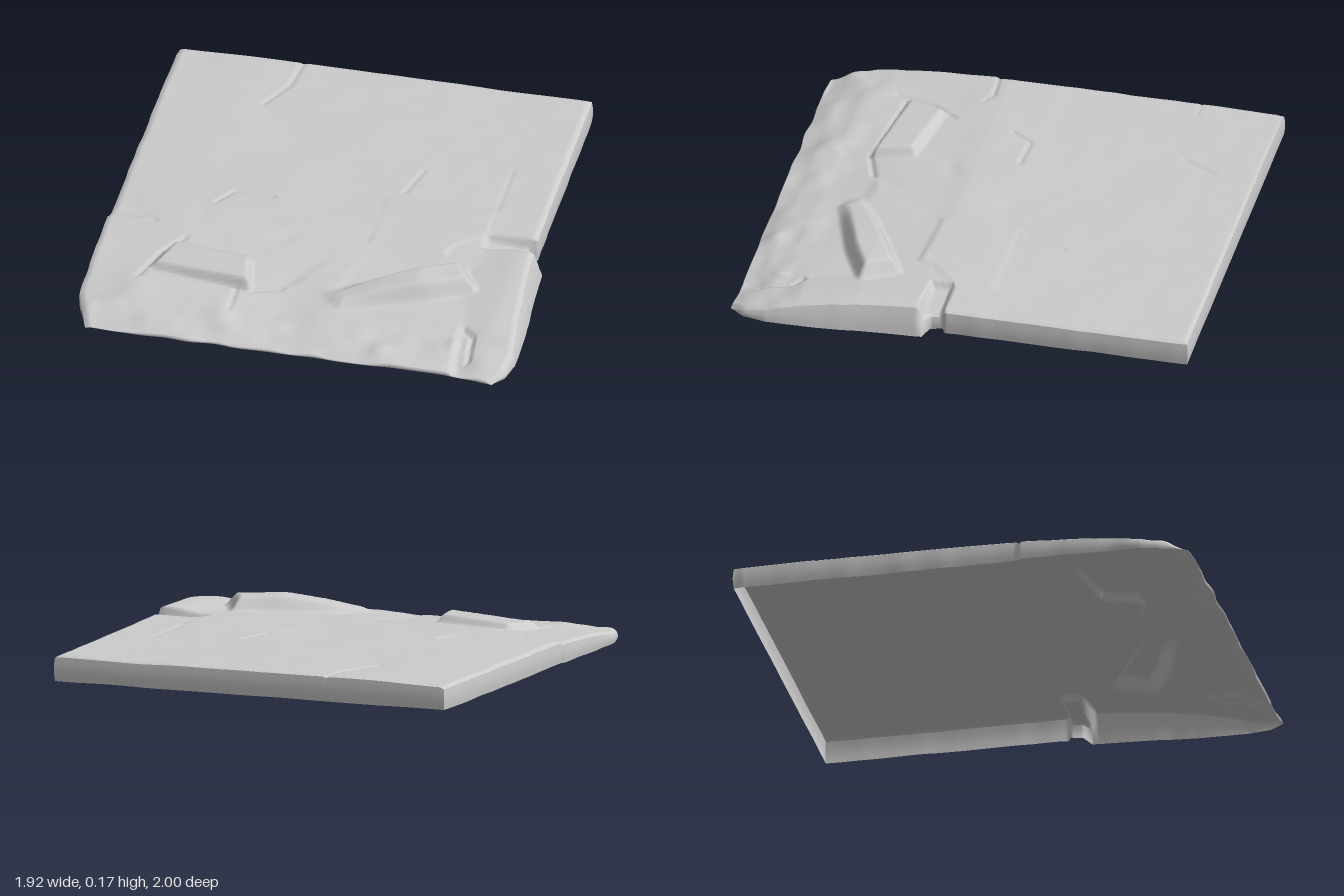
import * as THREE from 'three';

// piecewise-linear curve through [t, value] pairs
function curve(pts, t) {
  if (t <= pts[0][0]) return pts[0][1];
  for (let i = 1; i < pts.length; i++) {
    const [a, va] = pts[i - 1], [b, vb] = pts[i];
    if (t <= b) return va + (vb - va) * (t - a) / (b - a);
  }
  return pts[pts.length - 1][1];
}
const lerp = THREE.MathUtils.lerp;
const smooth = THREE.MathUtils.smoothstep;

// repeatable value noise, -1..1
function hash(i, j) {
  const s = Math.sin(i * 127.1 + j * 311.7) * 43758.5453;
  return (s - Math.floor(s)) * 2 - 1;
}
function noise(x, z) {
  const i = Math.floor(x), j = Math.floor(z), u = smooth(x - i, 0, 1), v = smooth(z - j, 0, 1);
  return lerp(lerp(hash(i, j), hash(i + 1, j), u), lerp(hash(i, j + 1), hash(i + 1, j + 1), u), v);
}

// distance to a segment, and signed distance to a polygon (positive inside)
function segDist(x, z, [ax, az], [bx, bz]) {
  const dx = bx - ax, dz = bz - az;
  const t = THREE.MathUtils.clamp(((x - ax) * dx + (z - az) * dz) / (dx * dx + dz * dz), 0, 1);
  return Math.hypot(x - ax - dx * t, z - az - dz * t);
}
function polyDist(x, z, poly) {
  let d = 9, inside = false;
  poly.forEach((a, i) => {
    const b = poly[(i + 1) % poly.length];
    d = Math.min(d, segDist(x, z, a, b));
    if ((a[1] > z) !== (b[1] > z) && x < (b[0] - a[0]) * (z - a[1]) / (b[1] - a[1]) + a[0]) inside = !inside;
  });
  return inside ? d : -d;
}

// outline of the slab
const RIGHT = [[-1, 0.86], [0.065, 0.87], [0.078, 0.835], [0.135, 0.845], [0.15, 0.878], [0.5, 0.905], [0.83, 0.94], [0.93, 0.925], [0.99, 0.88]];
const FLARE = [[0.135, 0], [0.15, 0.032], [0.6, 0.03], [0.83, 0.014], [1, 0]];
const LEFT = [[-0.98, -0.945], [-0.95, -0.952], [0.25, -0.952], [0.265, -0.964], [0.8, -0.964], [0.87, -0.945], [0.99, -0.89]];

// general fall of the surface from back to front
const BASE = [[-1, 0.122], [-0.5, 0.124], [0, 0.124], [0.2, 0.121], [0.4, 0.106], [0.6, 0.093], [0.8, 0.075], [0.9, 0.055], [1, 0.022]];
const BLOCK = [[0.15, 0.142], [0.45, 0.128], [0.7, 0.1], [0.88, 0.056], [1, 0.018]];

// broken plates lying in the surface: outline, edge softness, top plane
const PLATES = [
  { poly: [[-0.55, 0.1], [-0.47, 0], [0.2, 0.02], [0.18, 0.23], [-0.14, 0.2], [-0.2, 0.28], [-0.5, 0.25]], soft: 0.05, top: (x, z) => curve(BASE, z) + 0.004 },
  { poly: [[0.18, -0.1], [0.66, -0.1], [0.66, 0.07], [0.53, 0.19], [0.51, 0.255], [0.18, 0.235]], soft: 0.014, top: () => 0.127 },
  { poly: [[-0.07, 0.58], [0.06, 0.32], [0.17, 0.34], [0.12, 0.6]], soft: 0.03, top: (x, z) => 0.113 - (z - 0.33) * 0.05 },
  { poly: [[-0.69, 0.59], [-0.63, 0.42], [-0.29, 0.475], [-0.255, 0.65]], soft: 0.016, top: (x, z) => 0.128 + (x + 0.6) * 0.04 - (z - 0.45) * 0.05 },
  { poly: [[0.66, 0.165], [1.1, 0.165], [1.1, 1.1], [0.72, 1.1], [0.66, 0.5]], soft: 0.02, top: (x, z) => curve(BLOCK, z) - 0.02 * smooth(0.85 - x, 0, 0.2) },
  { poly: [[0.08, 0.62], [0.22, 0.53], [0.6, 0.335], [0.68, 0.47], [0.5, 0.56], [0.15, 0.68]], soft: 0.03, top: (x, z) => curve([[0.1, 0.115], [0.3, 0.155], [0.45, 0.174], [0.66, 0.168]], x) - 0.06 * Math.max(0, z - 0.45) },
  { poly: [[0.655, 0.075], [0.95, 0.075], [0.95, 0.165], [0.655, 0.165]], soft: 0.01, top: (x) => 0.095 - (x - 0.65) * 0.09 },
];
// cracks: polyline, depth, width
const CRACKS = [
  [[[-0.97, 0.26], [-0.8, 0.25], [-0.75, 0.28]], 0.01, 0.012],
  [[[-0.53, 0.1], [-0.47, 0.005], [-0.3, 0.015]], 0.008, 0.014],
  [[[-0.69, 0.6], [-0.255, 0.655], [-0.12, 0.61]], 0.012, 0.016],
  [[[-0.74, 0.66], [-0.68, 0.48], [-0.6, 0.37]], 0.008, 0.018],
  [[[-0.4, -1], [-0.42, -0.82], [-0.5, -0.66]], 0.006, 0.018],
  [[[0.65, -0.42], [0.655, 0.07]], 0.004, 0.012],
  [[[0.24, -0.15], [0.28, -0.32]], 0.005, 0.02],
  [[[-0.31, 0.66], [-0.31, 0.8]], 0.008, 0.015],
  [[[0.7, 0.72], [0.75, 0.76], [0.76, 0.9]], 0.018, 0.015],
  [[[-0.96, -0.63], [-0.86, -0.63]], 0.004, 0.012],
];
// soft bumps and dents: x, z, radius, height
const BUMPS = [
  [-0.1, 0.75, 0.22, -0.016], [0.35, 0.78, 0.2, -0.008], [-0.3, 0.85, 0.1, 0.016], [-0.75, 0.75, 0.15, 0.012],
  [-0.2, 0.27, 0.07, -0.009], [0.13, 0.65, 0.05, 0.012], [0.72, 0.73, 0.05, 0.02], [0.81, 0.79, 0.06, 0.02],
  [0.7, 0.82, 0.05, 0.015], [0.38, 0.92, 0.07, 0.015], [-0.3, -0.4, 0.2, -0.006], [-0.3, 0.1, 0.25, 0.008], [-0.9, 0.88, 0.06, 0.012],
];

const bottomAt = (x, z) => 0.013 - 0.009 * smooth(x, 0.6, 0.9) * smooth(z, 0, 0.2) + 0.002 * noise(x * 5, z * 5);

function heightAt(x, z) {
  let h = curve(BASE, z) - 0.01 * smooth(-x, 0.6, 0.95);
  for (const [bx, bz, r, k] of BUMPS) h += k * Math.exp(-2 * ((x - bx) ** 2 + (z - bz) ** 2) / (r * r));
  for (const { poly, soft, top } of PLATES) h = lerp(h, top(x, z), smooth(polyDist(x, z, poly), -soft, soft));
  for (const [line, depth, width] of CRACKS) {
    let d = 9;
    for (let i = 1; i < line.length; i++) d = Math.min(d, segDist(x, z, line[i - 1], line[i]));
    h -= depth * (1 - smooth(d, 0, width));
  }
  // broken front is rougher than the worn back
  const rough = smooth(z, 0.62, 0.85);
  h += 0.003 * noise(x * 4, z * 4) + (0.001 + 0.006 * rough) * noise(x * 11, z * 13);
  return Math.max(h, bottomAt(x, z) + 0.006);
}

const N = 190;
// grid position (u, v in 0..1) to a point on the top surface
function topPoint(u, v) {
  const zr = -0.99 + 1.975 * v;
  const left = curve(LEFT, zr) + 0.003 * noise(3, zr * 12);
  const right = curve(RIGHT, zr) + 0.002 * noise(7, zr * 12);
  const x = lerp(left, right, u);
  const z = zr - 0.01 * u * (1 - v) + 0.006 * v * noise(x * 9, 5);
  const edge = Math.min((x - left), (right - x), (z + 1) * 0.9 + 0.004);
  return [x, heightAt(x, z) - 0.01 * (1 - smooth(edge, 0, 0.018)), z];
}

function gridGeometry(cols, rows, point) {
  const pos = [], index = [];
  for (let j = 0; j <= rows; j++) for (let i = 0; i <= cols; i++) pos.push(...point(i / cols, j / rows));
  for (let j = 0; j < rows; j++) for (let i = 0; i < cols; i++) {
    const a = j * (cols + 1) + i, b = a + cols + 1;
    index.push(a, b, a + 1, b, b + 1, a + 1);
  }
  const g = new THREE.BufferGeometry();
  g.setAttribute('position', new THREE.Float32BufferAttribute(pos, 3));
  g.setIndex(index);
  g.computeVertexNormals();
  return g;
}

export function createModel() {
  const group = new THREE.Group();
  group.name = 'brokenStoneSlab';
  const material = new THREE.MeshStandardMaterial({ color: 0xcccccc, side: THREE.DoubleSide });
  const add = (name, geometry) => {
    const mesh = new THREE.Mesh(geometry, material);
    mesh.name = name;
    group.add(mesh);
  };

  // worn top surface
  add('topSurface', gridGeometry(N, N, topPoint));

  // four walls hanging from its border, open underneath
  const wall = (name, border) => add(name, gridGeometry(N, 4, (s, t) => {
    const [u, v] = border(s), [x, y, z] = topPoint(u, v);
    const out = u === 1 ? curve(FLARE, z) : 0;
    const bulge = 0.004 * Math.sin(Math.PI * t);
    const ox = u === 1 ? 1 : u === 0 ? -1 : 0, oz = v === 0 ? -1 : v === 1 ? 1 : 0;
    return [x + out * t + ox * bulge, lerp(y, bottomAt(x, z), t), z + oz * bulge];
  }));
  wall('frontWall', (s) => [s, 1]);
  wall('rightWall', (s) => [1, 1 - s]);
  wall('backWall', (s) => [1 - s, 0]);
  wall('leftWall', (s) => [0, s]);
  return group;
}
